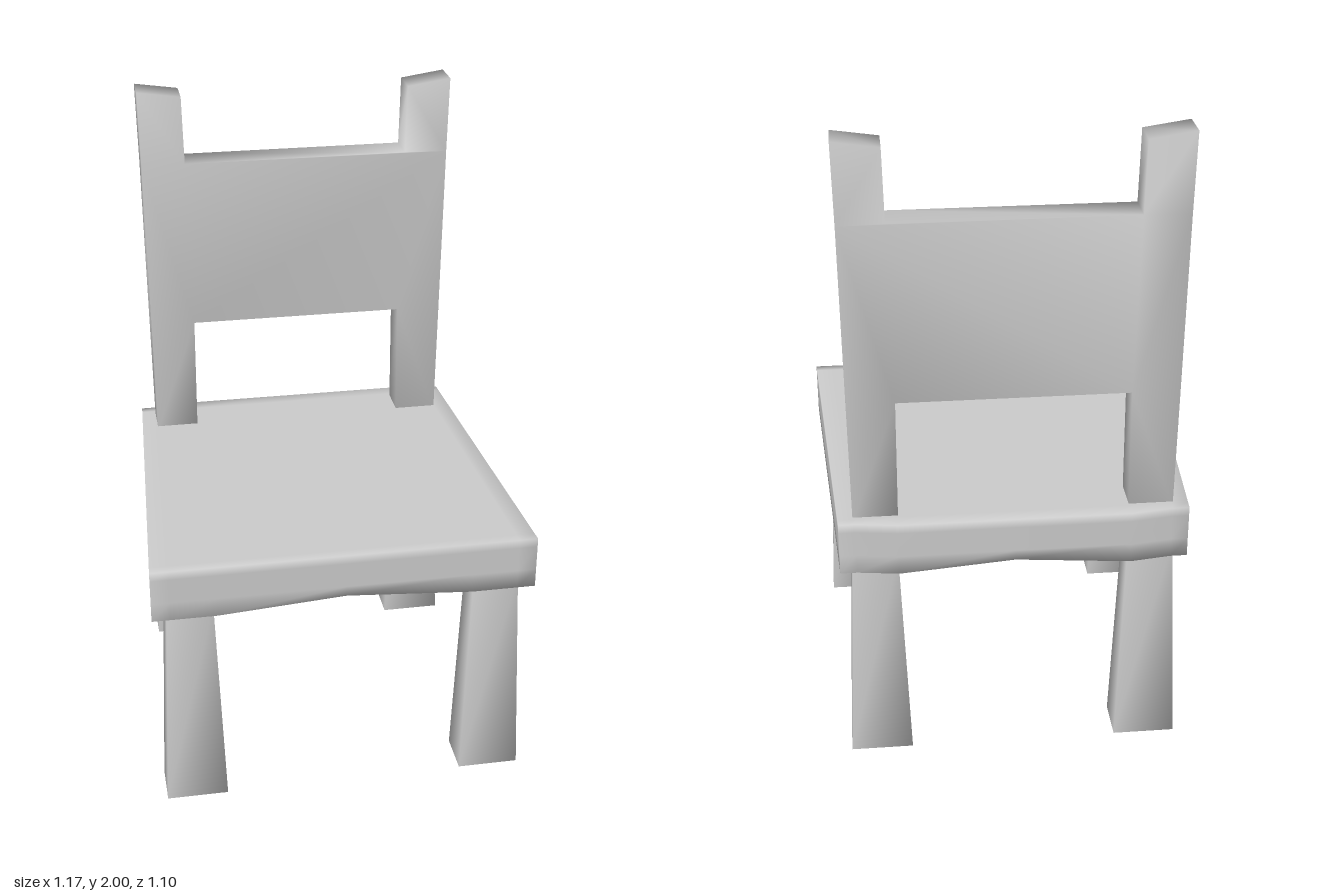
import * as THREE from 'three';
import { mergeVertices } from 'three/addons/utils/BufferGeometryUtils.js';

const material = new THREE.MeshStandardMaterial({ color: 0xcccccc });

// Weld the corners so shading rolls softly over every edge.
function soften(geometry) {
  geometry.deleteAttribute('normal');
  geometry.deleteAttribute('uv');
  const welded = mergeVertices(geometry, 1e-4);
  welded.computeVertexNormals();
  return welded;
}

// Box whose edge loops sit at the listed coordinates, then reshaped by a rule.
function gridBox(xs, ys, zs, rule) {
  const axes = [xs, ys, zs];
  const n = axes.map((a) => a.length - 1);
  const geometry = new THREE.BoxGeometry(1, 1, 1, ...n);
  const pos = geometry.attributes.position;
  const p = new THREE.Vector3();
  for (let i = 0; i < pos.count; i++) {
    const at = (k) => axes[k][Math.round((pos.getComponent(i, k) + 0.5) * n[k])];
    p.set(at(0), at(1), at(2));
    rule(p);
    pos.setXYZ(i, p.x, p.y, p.z);
  }
  return soften(geometry);
}

function part(name, geometry) {
  const mesh = new THREE.Mesh(geometry, material);
  mesh.name = name;
  return mesh;
}

// Seat: tapers to the back, underside arched, rear edge bowed outwards.
function makeSeat() {
  return part('seat', gridBox(
    [-0.587, -0.53, -0.39, 0, 0.39, 0.53, 0.587],
    [0.67, 0.73, 0.81, 0.838],
    [-0.53, -0.5, 0.515, 0.547],
    (p) => {
      const middle = Math.abs(p.x) < 0.4;
      if (p.x === 0 && p.y < 0.7) p.y = 0.698;
      p.x *= THREE.MathUtils.mapLinear(p.z, -0.53, 0.547, 0.895, 1);
      if (middle && p.z < -0.52) p.z = -0.548;
    },
  ));
}

// Leg: four-sided, flaring towards the floor. Ranges are [min, max].
function makeLeg(name, side, topX, footX, topZ, footZ) {
  const geometry = gridBox([0, 1], [0, 0.69], [0, 1], (p) => {
    const rx = p.y > 0 ? topX : footX;
    const rz = p.y > 0 ? topZ : footZ;
    p.x = side * (side > 0 ? rx[p.x] : rx[1 - p.x]);
    p.z = rz[p.z];
  });
  return part(name, geometry);
}

// Backrest: two posts and the wide panel between them, in one piece.
function makeBackrest() {
  const half = [
    [0.345, 1.213], [0.347, 0.82], [0.482, 0.82], [0.487, 1.2],
    [0.494, 1.76], [0.499, 2], [0.362, 1.98], [0.357, 1.763],
  ];
  const mirrored = half.map(([x, y]) => [-x, y]).reverse();
  const outline = [...half, ...mirrored].map(([x, y]) => new THREE.Vector2(x, y));
  const geometry = new THREE.ExtrudeGeometry(new THREE.Shape(outline), {
    depth: 0.105, bevelEnabled: false,
  });
  geometry.translate(0, 0, -0.49);
  return part('backrest', soften(geometry));
}

export function createModel() {
  const chair = new THREE.Group();
  chair.name = 'chair';
  chair.add(makeSeat(), makeBackrest());
  for (const side of [1, -1]) {
    const label = side > 0 ? 'Left' : 'Right';
    chair.add(
      makeLeg(`front${label}Leg`, side, [0.4, 0.54], [0.375, 0.565], [0.415, 0.52], [0.41, 0.545]),
      makeLeg(`back${label}Leg`, side, [0.35, 0.488], [0.323, 0.515], [-0.49, -0.385], [-0.52, -0.383]),
    );
  }
  return chair;
}
